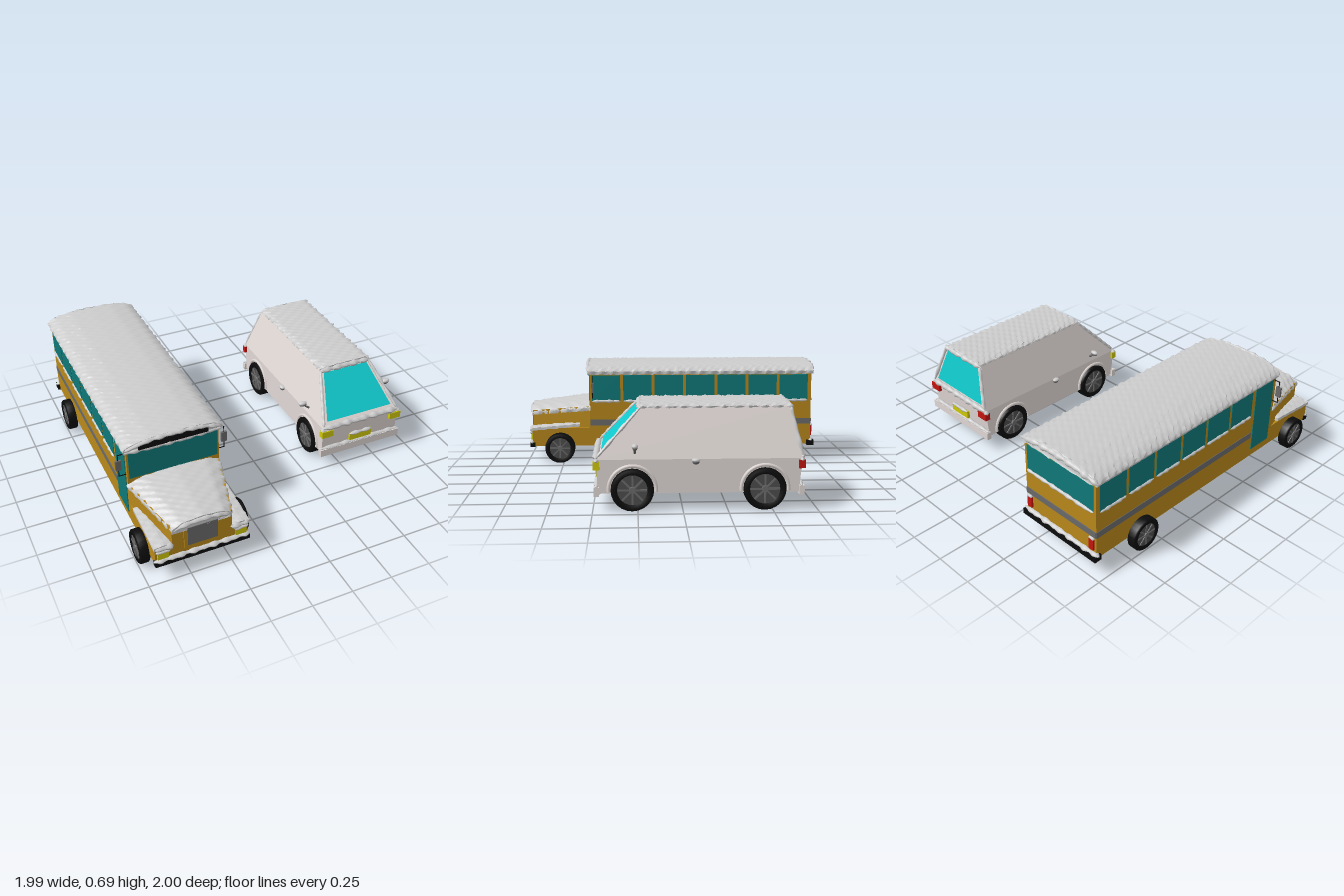
import * as THREE from 'three';
import { mergeVertices, toCreasedNormals } from 'three/addons/utils/BufferGeometryUtils.js';

const mat = (color, extra = {}) => new THREE.MeshStandardMaterial({ color, ...extra });
const both = { side: THREE.DoubleSide };
const M = {
  snow: mat(0xcccccc, both), yellow: mat(0xb8881a, both), white: mat(0xe0d8d5, both),
  busGlass: mat(0x0f7878, both), vanGlass: mat(0x10c8cc, both), lamp: mat(0xd0c808), red: mat(0xc41410),
  black: mat(0x0c0c0c), hub: mat(0x4c4c4c), grey: mat(0x6a6a6a),
};
const V = (x, y, z) => new THREE.Vector3(x, y, z);
const SIDES = [1, -1];

function add(parent, name, geometry, material, x = 0, y = 0, z = 0) {
  const mesh = new THREE.Mesh(geometry, material);
  mesh.name = name;
  mesh.position.set(x, y, z);
  parent.add(mesh);
  return mesh;
}
const box = (parent, name, material, w, h, d, x, y, z) =>
  add(parent, name, new THREE.BoxGeometry(w, h, d), material, x, y, z);

// Smooth bumps used for every piece of snow
const bump = (x, y, z) => 0.5 * Math.sin(x * 61 + z * 83 + y * 40) + 0.5 * Math.sin(z * 137 - x * 97 + 1.3);

// Tapered shell without a floor; rectangles are [halfWidth, back z, front z]
function shell(parent, name, material, y0, low, y1, high) {
  const g = new THREE.BoxGeometry(2, 1, 1);
  const p = g.attributes.position;
  for (let i = 0; i < p.count; i++) {
    const [w, back, front] = p.getY(i) > 0 ? high : low;
    p.setXYZ(i, p.getX(i) * w, p.getY(i) > 0 ? y1 : y0, p.getZ(i) > 0 ? front : back);
  }
  const index = [...g.index.array];
  index.splice(18, 6);
  g.setIndex(index);
  g.clearGroups();
  g.computeVertexNormals();
  return add(parent, name, g, material);
}

// Flat four-cornered pane
function pane(parent, name, material, a, b, c, d) {
  const g = new THREE.BufferGeometry().setFromPoints([a, b, c, a, c, d]);
  g.computeVertexNormals();
  return add(parent, name, g, material);
}

// Lumpy bead of snow along a path
function ridge(parent, name, points, r = 0.012, squash = 1) {
  const curve = points.length > 2 ? new THREE.CatmullRomCurve3(points) : new THREE.LineCurve3(...points);
  const n = Math.max(8, Math.ceil(curve.getLength() / 0.012));
  const g = new THREE.TubeGeometry(curve, n, r, 8);
  const p = g.attributes.position, v = V(0, 0, 0);
  for (let i = 0; i < p.count; i++) {
    const t = Math.floor(i / 9) / n, c = curve.getPointAt(t);
    v.fromBufferAttribute(p, i).sub(c);
    v.multiplyScalar(Math.sqrt(Math.max(0, 1 - Math.abs(2 * t - 1) ** 12)) * (1 + 0.35 * bump(c.x, c.y, c.z)));
    p.setXYZ(i, c.x + v.x, c.y + v.y * squash, c.z + v.z);
  }
  g.computeVertexNormals();
  return add(parent, name, g, M.snow);
}

// Snow blanket: half cross-section mirrored, run from z0 to z1, bent by a rule and roughened
function blanket(parent, name, half, z0, z1, amount, rule = () => {}) {
  const outline = [...half, ...half.slice(0, -1).reverse().map(([x, y]) => [-x, y])];
  const shape = new THREE.Shape(outline.map(([x, y]) => new THREE.Vector2(x, y)));
  shape.closePath();
  const fine = new THREE.Shape(shape.getSpacedPoints(56).slice(0, -1));
  const depth = z1 - z0;
  let g = new THREE.ExtrudeGeometry(fine, { depth, steps: Math.ceil(depth / 0.02), bevelEnabled: false });
  g.translate(0, 0, z0);
  const p = g.attributes.position, v = V(0, 0, 0);
  for (let i = 0; i < p.count; i++) {
    v.fromBufferAttribute(p, i);
    rule(v, (v.z - z0) / depth);
    const b = bump(v.x, v.y, v.z) * amount;
    p.setXYZ(i, v.x + Math.sign(v.x) * b * Math.min(1, Math.abs(v.x) * 5), v.y + b * 0.7, v.z + b * 0.6);
  }
  g.deleteAttribute('normal');
  g.deleteAttribute('uv');
  g = toCreasedNormals(mergeVertices(g), 0.9);
  return add(parent, name, g, M.snow);
}

// Wheel open on its inner side
function wheel(parent, name, r, w, x, z, s) {
  const g = new THREE.Group();
  g.name = name;
  const profile = [[0.93, -0.5], [1, -0.38], [1, 0.38], [0.93, 0.5], [0.74, 0.5], [0.7, 0.38]];
  add(g, 'tyre', new THREE.LatheGeometry(profile.map(([a, b]) => new THREE.Vector2(a * r, b * w)), 24), M.black);
  const disc = new THREE.CircleGeometry(r * 0.72, 24).rotateX(-Math.PI / 2);
  add(g, 'hubDisc', disc, M.hub, 0, w * 0.39, 0);
  for (let i = 0; i < 8; i++) {
    const spoke = new THREE.BoxGeometry(r * 0.09, w * 0.1, r * 0.55).translate(0, 0, r * 0.4);
    add(g, 'spoke', spoke, M.grey, 0, w * 0.4, 0).rotation.y = i * Math.PI / 4;
  }
  add(g, 'hubCap', new THREE.CylinderGeometry(r * 0.15, r * 0.18, w * 0.16, 12), M.grey, 0, w * 0.44, 0);
  g.position.set(x, r, z);
  g.rotation.z = -s * Math.PI / 2;
  parent.add(g);
}

function createBus() {
  const bus = new THREE.Group();
  bus.name = 'bus';
  const W = 0.28;
  shell(bus, 'cabin', M.yellow, 0.11, [W, -0.965, 0.57], 0.63, [W, -0.965, 0.57]);
  shell(bus, 'fenders', M.yellow, 0.11, [W, 0.57, 0.965], 0.235, [W, 0.57, 0.965]);
  shell(bus, 'bonnet', M.yellow, 0.23, [W, 0.57, 0.97], 0.385, [W, 0.57, 0.97]);
  // Narrow the bonnet towards the nose
  const bp = bus.children[2].geometry.attributes.position;
  for (let i = 0; i < bp.count; i++) if (bp.getZ(i) > 0.9) {
    bp.setX(i, bp.getX(i) * 0.64);
    if (bp.getY(i) > 0.3) bp.setY(i, 0.345);
  }
  bus.children[2].geometry.computeVertexNormals();

  // Snow on roof, bonnet and fenders
  blanket(bus, 'roofSnow', [[0.298, 0.605], [0.303, 0.632], [0.25, 0.66], [0.14, 0.677], [0, 0.68]], -0.975, 0.58, 0.006);
  blanket(bus, 'bonnetSnow', [[0.285, -0.06], [0.292, -0.03], [0.2, 0], [0, 0.012]], 0.565, 0.98, 0.006, (v, t) => {
    v.x *= 1 - 0.38 * t;
    v.y += 0.415 - 0.045 * t;
  });
  for (const s of SIDES) {
    const cap = blanket(bus, 'fenderSnow', [[0.055, -0.012], [0.055, 0.008], [0, 0.016]], 0.64, 0.975, 0.006,
      (v, t) => { v.y += 0.258 - 0.028 * t; });
    cap.position.x = s * 0.232;
    ridge(bus, 'fenderFrontSnow', [V(s * 0.17, 0.225, 0.97), V(s * 0.285, 0.225, 0.97)], 0.016);
  }

  // Nose: grille, lamps, bumper
  box(bus, 'grilleFrame', M.yellow, 0.22, 0.16, 0.01, 0, 0.255, 0.972);
  box(bus, 'grille', M.grey, 0.18, 0.125, 0.014, 0, 0.26, 0.975);
  ridge(bus, 'noseSnow', [V(-0.18, 0.325, 0.97), V(-0.09, 0.355, 0.98), V(0.09, 0.355, 0.98), V(0.18, 0.325, 0.97)], 0.013);
  box(bus, 'frontBumper', M.black, 0.57, 0.03, 0.035, 0, 0.12, 0.965);
  ridge(bus, 'frontBumperSnow', [V(-0.295, 0.137, 0.97), V(0.295, 0.137, 0.97)], 0.017, 0.8);
  box(bus, 'rearBumper', M.black, 0.59, 0.035, 0.05, 0, 0.12, -0.965);
  ridge(bus, 'rearBumperSnow', [V(-0.305, 0.138, -0.967), V(0.305, 0.138, -0.967)], 0.02, 0.7);

  // Front and rear glass with snow lines
  box(bus, 'windscreen', M.busGlass, 0.54, 0.175, 0.008, 0, 0.512, 0.57);
  box(bus, 'destinationPanel', M.black, 0.42, 0.036, 0.03, 0, 0.637, 0.575);
  ridge(bus, 'windscreenTopSnow', [V(-0.3, 0.612, 0.575), V(0, 0.61, 0.58), V(0.3, 0.612, 0.575)], 0.012);
  ridge(bus, 'panelSnow', [V(-0.29, 0.63, 0.58), V(-0.15, 0.664, 0.585), V(0.15, 0.664, 0.585), V(0.29, 0.63, 0.58)], 0.012);
  ridge(bus, 'rearRoofSnow', [V(-0.3, 0.625, -0.97), V(-0.15, 0.655, -0.975), V(0.15, 0.655, -0.975), V(0.3, 0.625, -0.97)], 0.018);
  box(bus, 'rearWindow', M.busGlass, 0.52, 0.165, 0.008, 0, 0.51, -0.965);
  ridge(bus, 'rearSillSnow', [V(-0.265, 0.422, -0.97), V(0.265, 0.422, -0.97)], 0.011);
  box(bus, 'rearStripe', M.grey, 0.56, 0.04, 0.006, 0, 0.272, -0.966);

  for (const s of SIDES) {
    // Seven bays a side; the first bay on the right is the door
    for (let i = 0; i < 7; i++) {
      const z = 0.457 - i * 0.2165;
      const door = s < 0 && i === 0;
      box(bus, door ? 'door' : 'sideWindow', M.busGlass, 0.008, door ? 0.44 : 0.175, door ? 0.17 : 0.196,
        s * W, door ? 0.38 : 0.512, z);
      if (!door) ridge(bus, 'sillSnow', [V(s * 0.284, 0.42, z - 0.098), V(s * 0.284, 0.42, z + 0.098)], 0.009);
    }
    const length = s > 0 ? 1.53 : 1.32;
    box(bus, 'sideStripe', M.grey, 0.006, 0.04, length, s * W, 0.272, -0.962 + length / 2);
    box(bus, 'headlamp', M.lamp, 0.065, 0.055, 0.02, s * 0.235, 0.18, 0.967);
    ridge(bus, 'headlampSnow', [V(s * 0.19, 0.203, 0.975), V(s * 0.28, 0.203, 0.975)], 0.01);
    box(bus, 'tailLamp', M.red, 0.035, 0.075, 0.02, s * 0.25, 0.205, -0.967);
    ridge(bus, 'tailLampSnow', [V(s * 0.228, 0.244, -0.972), V(s * 0.272, 0.244, -0.972)], 0.008);
    // Mirror on a thin bracket
    box(bus, 'mirror', M.grey, 0.034, 0.065, 0.014, s * 0.322, 0.52, 0.548);
    box(bus, 'mirrorRod', M.black, 0.004, 0.148, 0.004, s * 0.322, 0.517, 0.548);
    for (const y of [0.59, 0.444]) box(bus, 'mirrorArm', M.black, 0.05, 0.004, 0.004, s * 0.3, y, 0.548);
    for (const z of [0.775, -0.625]) wheel(bus, 'busWheel', 0.102, 0.058, s * 0.305, z, s);
  }
  return bus;
}

function createVan() {
  const van = new THREE.Group();
  van.name = 'van';
  const belt = 0.29, top = 0.57;
  shell(van, 'lowerBody', M.white, 0.1, [0.275, -0.645, 0.47], belt, [0.275, -0.662, 0.478]);
  shell(van, 'upperBody', M.white, belt, [0.275, -0.662, 0.478], top, [0.178, -0.6, 0.22]);
  blanket(van, 'roofSnow', [[0.18, 0.556], [0.184, 0.572], [0.15, 0.583], [0, 0.585]], -0.61, 0.235, 0.008);

  // Sloping end glass framed with snow
  for (const f of SIDES) {
    const end = f > 0 ? 'front' : 'rear';
    const on = (x, y) => {
      const t = (y - belt) / (top - belt);
      return V(x, y, f > 0 ? 0.486 - 0.258 * t : -0.668 + 0.062 * t);
    };
    pane(van, end + 'Glass', M.vanGlass, on(-0.235, 0.325), on(0.235, 0.325), on(0.158, 0.55), on(-0.158, 0.55));
    ridge(van, end + 'TopSnow', [on(-0.185, 0.562), on(0.185, 0.562)], 0.017);
    ridge(van, end + 'SillSnow', [on(-0.28, 0.298), on(0.28, 0.298)], 0.018);
    for (const s of SIDES) ridge(van, end + 'PillarSnow', [on(s * 0.27, 0.3), on(s * 0.175, 0.565)], 0.01);

    const z = f > 0 ? 0.478 : -0.66;
    box(van, end + 'Bumper', M.white, 0.58, 0.05, 0.03, 0, 0.112, z);
    ridge(van, end + 'BumperSnow', [V(-0.292, 0.14, z), V(0.292, 0.14, z)], 0.014, 0.8);
    box(van, end + 'Plate', M.lamp, 0.16, 0.05, 0.02, 0, 0.178, z);
    ridge(van, end + 'PlateSnow', [V(-0.08, 0.203, z + f * 0.008), V(0.08, 0.203, z + f * 0.008)], 0.011);
    for (const s of SIDES) {
      box(van, end + 'Lamp', f > 0 ? M.lamp : M.red, 0.08, 0.046, 0.036, s * 0.25, 0.258, z);
      ridge(van, end + 'LampSnow', [V(s * 0.205, 0.283, z), V(s * 0.296, 0.283, z)], 0.014);
    }
  }

  for (const s of SIDES) {
    for (const z of [0.28, -0.455]) {
      wheel(van, 'vanWheel', 0.12, 0.08, s * 0.254, z, s);
      // Wheel arch lip
      const arch = new THREE.TorusGeometry(0.132, 0.01, 6, 24, Math.PI * 1.06).rotateZ(-0.03 * Math.PI).rotateY(Math.PI / 2);
      add(van, 'wheelArch', arch, M.white, s * 0.276, 0.122, z);
    }
    // Mirror with a stalk and snow, then the door handle
    ridge(van, 'mirrorStalk', [V(s * 0.26, 0.32, 0.265), V(s * 0.305, 0.355, 0.265)], 0.006).material = M.grey;
    add(van, 'mirror', new THREE.SphereGeometry(0.02, 12, 8).scale(1.3, 0.6, 0.7), M.grey, s * 0.31, 0.36, 0.265);
    add(van, 'mirrorSnow', new THREE.SphereGeometry(0.022, 12, 8).scale(1.3, 0.6, 0.8), M.snow, s * 0.312, 0.371, 0.265);
    add(van, 'handle', new THREE.SphereGeometry(0.02, 12, 8).scale(0.8, 0.7, 1), M.grey, s * 0.282, 0.275, -0.07);
    add(van, 'handleSnow', new THREE.SphereGeometry(0.024, 12, 8).scale(0.8, 0.45, 1), M.snow, s * 0.284, 0.285, -0.07);
  }
  return van;
}

export function createModel() {
  const model = new THREE.Group();
  model.name = 'snowyVehicles';
  const bus = createBus(), van = createVan();
  bus.position.x = -0.664;
  van.position.x = 0.65;
  model.add(bus, van);
  return model;
}
